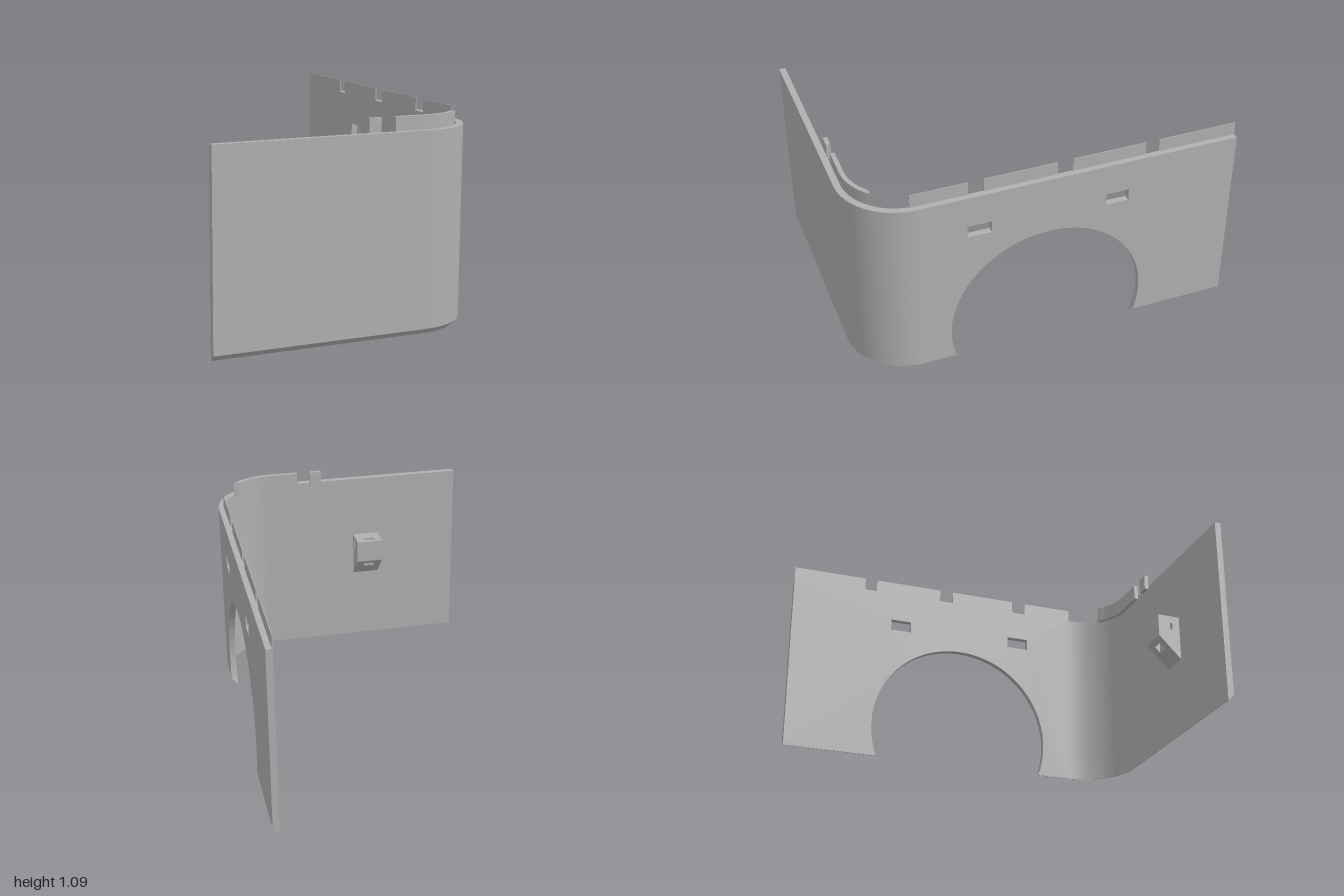
import * as THREE from 'three';
import { toCreasedNormals } from 'three/addons/utils/BufferGeometryUtils.js';

const T = 0.034;      // wall thickness
const CH = 0.03;      // bottom chamfer
const TOP = 1.02;     // wall top
const TAB = 1.09;     // tab top
const CX = 0.4, CZ = 0.68, R = 0.32; // rounded corner

const grey = new THREE.MeshStandardMaterial({ color: 0xb0b0b0 });
grey.name = 'grey';

function part(name, geometry) {
  const mesh = new THREE.Mesh(toCreasedNormals(geometry, 0.5), grey);
  mesh.name = name;
  return mesh;
}

// Joins convex rings of points into a capped solid
function loft(rings) {
  const pos = [];
  const tri = (...pts) => pts.forEach(p => pos.push(...p));
  const n = rings[0].length;
  const last = rings[rings.length - 1];
  for (let i = 0; i < rings.length - 1; i++) {
    for (let j = 0; j < n; j++) {
      const k = (j + 1) % n;
      const a = rings[i][j], b = rings[i][k], c = rings[i + 1][k], d = rings[i + 1][j];
      tri(a, d, c);
      tri(a, c, b);
    }
  }
  for (let k = 1; k < n - 1; k++) {
    tri(rings[0][0], rings[0][k], rings[0][k + 1]);
    tri(last[0], last[k + 1], last[k]);
  }
  const g = new THREE.BufferGeometry();
  g.setAttribute('position', new THREE.Float32BufferAttribute(pos, 3));
  return g;
}

// Extrudes a shape drawn in (-z, y) from x0 to x1
function slab(shape, x0, x1) {
  return new THREE.ExtrudeGeometry(shape, { depth: x1 - x0, bevelEnabled: false, curveSegments: 64 })
    .rotateY(Math.PI / 2).translate(x0, 0, 0);
}

function polygon(points, Type = THREE.Shape) {
  return new Type(points.map(([z, y]) => new THREE.Vector2(-z, y)));
}

const rectHole = (z0, z1, y0, y1) => polygon([[z0, y0], [z1, y0], [z1, y1], [z0, y1]], THREE.Path);

// Sweeps an (inset, y) profile along the front and round the corner to z = zEnd
function sweepFront(profile, xStart, zEnd, steps) {
  const rings = [profile.map(([o, y]) => [xStart, y, CZ + R - o])];
  for (let i = 0; i <= steps; i++) {
    rings.push(profile.map(([o, y]) => {
      const r = R - o;
      const a = THREE.MathUtils.lerp(Math.PI / 2, Math.asin((zEnd - CZ) / r), i / steps);
      return [CX + r * Math.cos(a), y, CZ + r * Math.sin(a)];
    }));
  }
  return loft(rings);
}

export function createModel() {
  const model = new THREE.Group();
  model.name = 'cornerPanel';

  // Front wall with the rounded corner
  const wall = [[T, 0], [CH, 0], [0, CH], [0, TOP], [T, TOP]];
  model.add(part('frontWall', sweepFront(wall, -0.72, CZ, 32)));

  // Side wall with arch and two slots
  const az = 0.01, ay = 0.185, ar = 0.52;
  const halfArch = y => Math.sqrt(ar * ar - (ay - y) ** 2);
  const dip = Math.asin((ay - CH) / ar);
  const side = new THREE.Shape();
  side.moveTo(-CZ, CH);
  side.lineTo(-az - halfArch(CH), CH);
  side.absarc(-az, ay, ar, Math.PI + dip, -dip, true);
  side.lineTo(1, CH);
  side.lineTo(1, TOP);
  side.lineTo(-CZ, TOP);
  side.holes.push(rectHole(0.31, 0.435, 0.785, 0.85), rectHole(-0.415, -0.295, 0.785, 0.85));
  model.add(part('sideWall', slab(side, 0.72 - T, 0.72)));

  // Chamfered feet either side of the arch
  const foot = [[T, 0], [CH, 0], [0, CH], [T, CH]];
  const ring = zAt => foot.map(([o, y]) => [0.72 - o, y, zAt(y)]);
  model.add(part('frontFoot', loft([ring(() => CZ), ring(y => az + halfArch(y))])));
  model.add(part('rearFoot', loft([ring(y => az - halfArch(y)), ring(() => -1)])));

  // Thin tabs along the side wall
  for (const [z0, z1] of [[0.42, 0.71], [-0.04, 0.34], [-0.51, -0.12], [-1, -0.58]]) {
    const g = new THREE.BoxGeometry(0.004, TAB - TOP, z1 - z0);
    g.translate(0.72 - T + 0.002, (TAB + TOP) / 2, (z0 + z1) / 2);
    model.add(part('sideTab', g));
  }

  // Tabs behind the front wall
  const low = 1.005, depth = 0.023;
  const tab = [[T + depth, low], [T, low], [T, TAB], [T + depth, TAB]];
  model.add(part('curvedTab', sweepFront(tab, 0.23, 0.875, 16)));
  const small = new THREE.BoxGeometry(0.064, TAB - low, depth);
  small.translate(0.122, (TAB + low) / 2, 1 - T - depth / 2);
  model.add(part('smallTab', small));

  // Wedge-bottomed bracket with crossing holes
  const bracket = new THREE.Group();
  bracket.name = 'bracket';
  const under = z => 0.54 - (z - 0.84);
  const piece = (x0, x1, z0, z1, hole) => {
    const s = polygon([[z0, under(z0)], [z1, under(z1)], [z1, 0.665], [z0, 0.665]]);
    if (hole) s.holes.push(rectHole(0.91, 0.945, 0.585, 0.645));
    bracket.add(part('bracketPiece', slab(s, x0, x1)));
  };
  const back = 1 - T;
  piece(-0.255, -0.215, 0.84, back, true);
  piece(-0.215, -0.15, 0.84, 0.865, false);
  piece(-0.215, -0.15, 0.895, back, true);
  piece(-0.15, -0.105, 0.84, back, true);
  model.add(bracket);

  return model;
}
